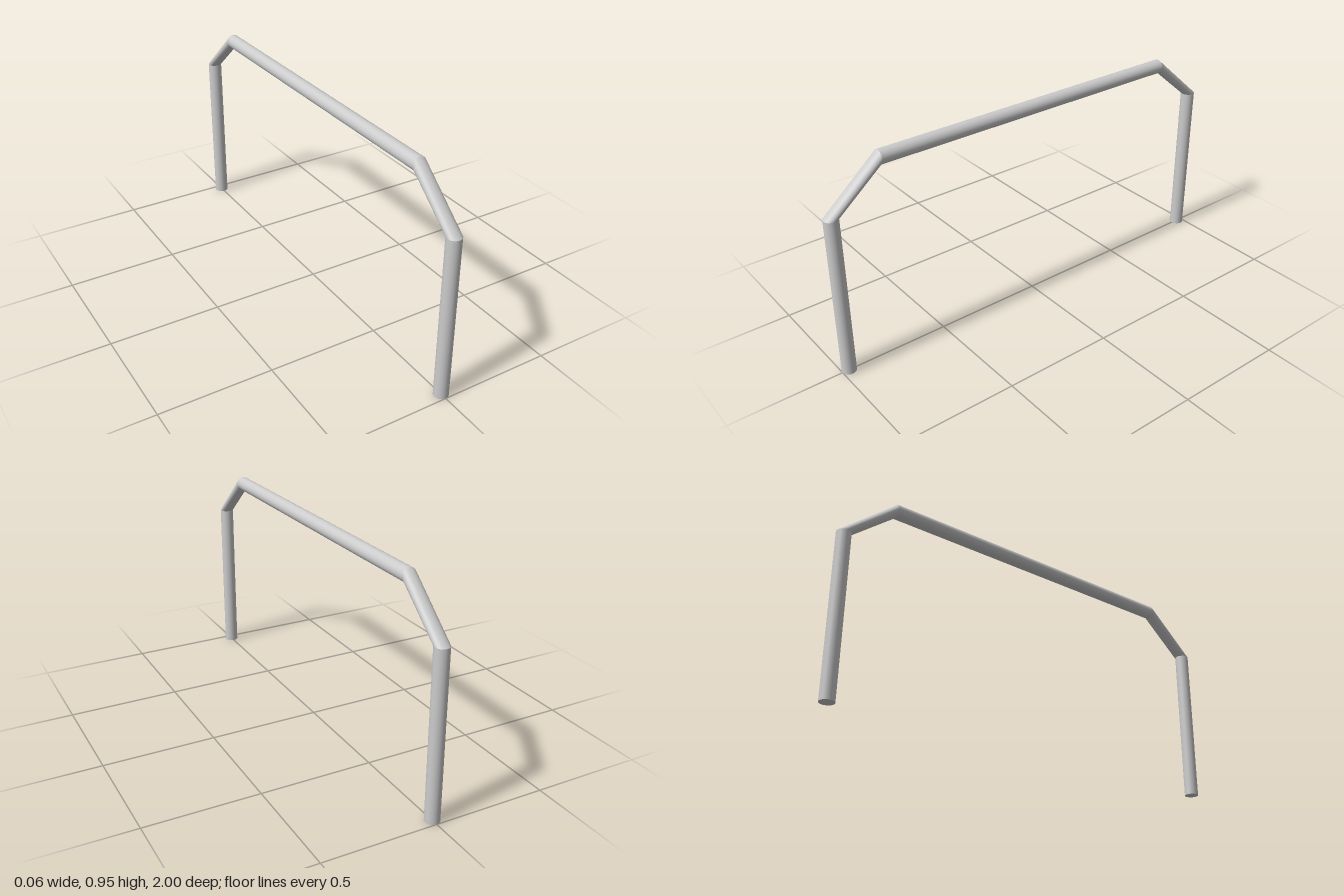
import * as THREE from 'three';

const R = 0.0315, SIDES = 32;

// Joints of the bent pipe: height, depth and the outward direction of the cut ring
const joints = [
  { y: 0, z: 0.9685, out: [0, 1] },
  { y: 0.73, z: 0.9685, out: [0, 1] },
  { y: 0.9215, z: 0.745, out: [1, 0] },
  { y: 0.9215, z: -0.745, out: [1, 0] },
  { y: 0.73, z: -0.9685, out: [0, -1] },
  { y: 0, z: -0.9685, out: [0, -1] },
];
const names = ['frontLeg', 'frontBrace', 'topBar', 'backBrace', 'backLeg'];

// Pipe section joining two cut rings, smooth around, sharp at its ends
function pipeSection(a, b) {
  const pos = [], idx = [];
  for (const { y, z, out } of [a, b]) {
    for (let j = 0; j < SIDES; j++) {
      const t = (j / SIDES) * Math.PI * 2, s = R * Math.sin(t);
      pos.push(R * Math.cos(t), y + s * out[0], z + s * out[1]);
    }
  }
  for (let j = 0; j < SIDES; j++) {
    const k = (j + 1) % SIDES;
    idx.push(j, SIDES + j, k, k, SIDES + j, SIDES + k);
  }
  const geo = new THREE.BufferGeometry();
  geo.setAttribute('position', new THREE.Float32BufferAttribute(pos, 3));
  geo.setIndex(idx);
  geo.computeVertexNormals();
  return geo;
}

export function createModel() {
  const group = new THREE.Group();
  group.name = 'pipeHoop';
  const material = new THREE.MeshStandardMaterial({ color: 0xcccccc });
  const add = (name, geo) => {
    const mesh = new THREE.Mesh(geo, material);
    mesh.name = name;
    group.add(mesh);
    return mesh;
  };

  names.forEach((name, i) => add(name, pipeSection(joints[i], joints[i + 1])));

  // Flat caps under the feet
  for (const [name, z] of [['frontFootCap', 0.9685], ['backFootCap', -0.9685]]) {
    add(name, new THREE.CircleGeometry(R, SIDES).rotateX(Math.PI / 2)).position.z = z;
  }
  return group;
}
